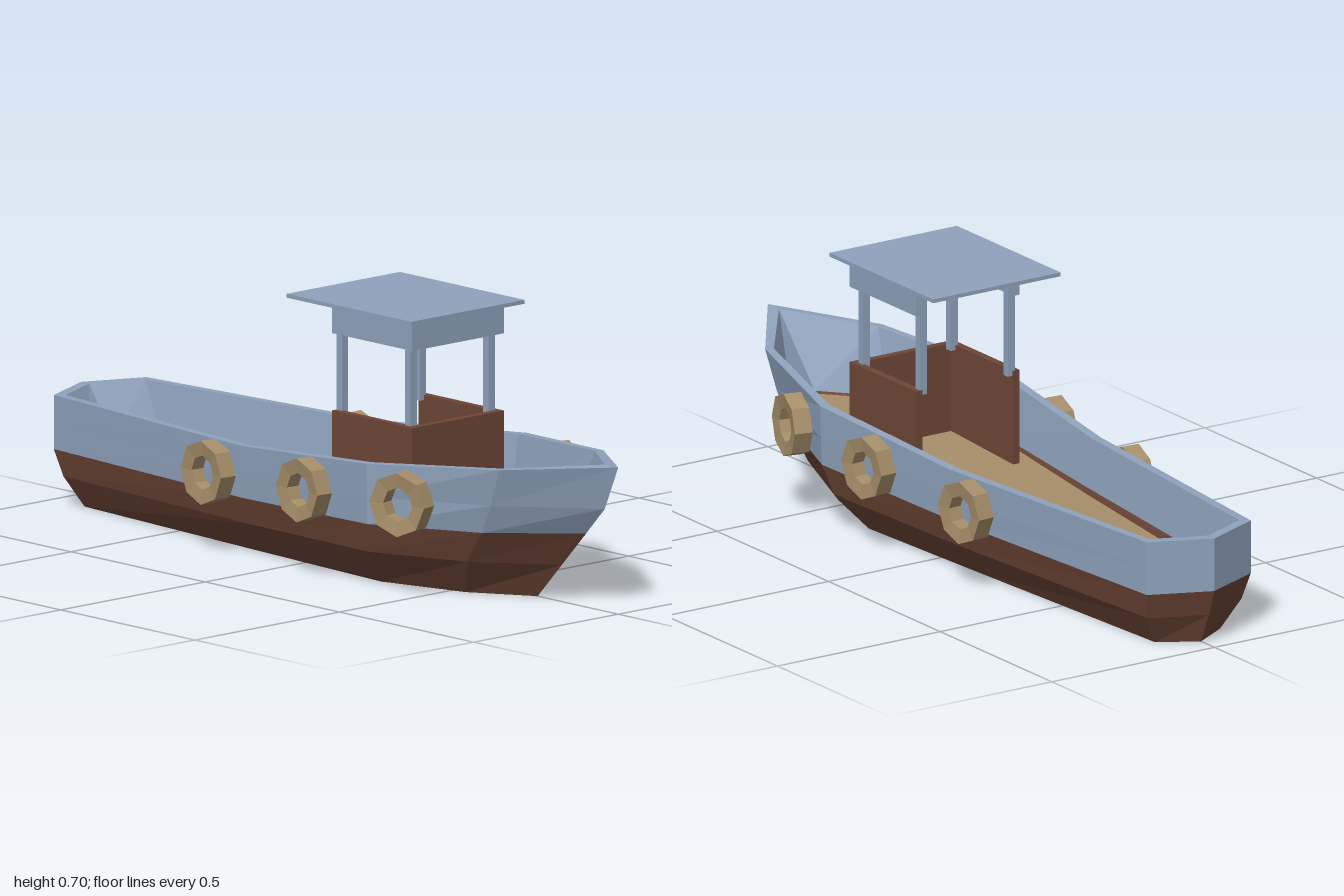
import * as THREE from 'three';

const mat = (name, color, side = THREE.FrontSide) => {
  const m = new THREE.MeshStandardMaterial({ color, flatShading: true, side });
  m.name = name;
  return m;
};

// Full outline from half stations running bow -> left side -> stern
function loop(half) {
  const mirrored = half.slice(1, -1).reverse().map(([x, y, z]) => [-x, y, z]);
  return [...half, ...mirrored];
}

function toGeometry(points) {
  const g = new THREE.BufferGeometry();
  g.setAttribute('position', new THREE.Float32BufferAttribute(points.flat(), 3));
  g.computeVertexNormals();
  return g;
}

// Skin a chain of outlines
function skin(loops) {
  const out = [];
  for (let k = 0; k < loops.length - 1; k++) {
    const a = loops[k], b = loops[k + 1], n = a.length;
    for (let i = 0; i < n; i++) {
      const j = (i + 1) % n;
      out.push(a[i], a[j], b[j], a[i], b[j], b[i]);
    }
  }
  return toGeometry(out);
}

// Close an outline with strips running from side to side
function cap(l, down = false) {
  const out = [], n = l.length, m = (i) => (n - i) % n;
  const tri = (a, b, c) => {
    if (a === b || b === c || a === c) return;
    out.push(l[a], l[down ? c : b], l[down ? b : c]);
  };
  for (let i = 0; i < n / 2; i++) {
    tri(i, i + 1, m(i + 1));
    tri(i, m(i + 1), m(i));
  }
  return toGeometry(out);
}

export function createModel() {
  const boat = new THREE.Group();
  boat.name = 'workBoat';
  const blue = mat('greyBlue', 0x8fa3bc);
  const brown = mat('rustBrown', 0x6e4737);
  const tan = mat('tan', 0xa68e69);

  const add = (name, geometry, material, parent = boat) => {
    const mesh = new THREE.Mesh(geometry, material);
    mesh.name = name;
    parent.add(mesh);
    return mesh;
  };
  const box = (name, material, parent, [x0, x1], [y0, y1], [z0, z1]) => {
    const mesh = add(name, new THREE.BoxGeometry(x1 - x0, y1 - y0, z1 - z0), material, parent);
    mesh.position.set((x0 + x1) / 2, (y0 + y1) / 2, (z0 + z1) / 2);
  };

  // Hull outlines from keel to rim
  const keel = loop([[0, 0, 0.7], [0.1, 0, 0.54], [0.17, 0, 0.3], [0.145, 0, -0.15], [0.1, 0, -0.88], [0, 0, -0.94]]);
  const chine = loop([[0, 0.095, 0.79], [0.15, 0.095, 0.6], [0.25, 0.095, 0.34], [0.21, 0.085, -0.15], [0.145, 0.08, -0.91], [0, 0.08, -0.975]]);
  const water = loop([[0, 0.19, 0.88], [0.165, 0.183, 0.67], [0.273, 0.173, 0.36], [0.23, 0.155, -0.15], [0.16, 0.15, -0.93], [0, 0.15, -1]]);
  const flare = loop([[0, 0.265, 0.95], [0.172, 0.26, 0.71], [0.276, 0.245, 0.36], [0.232, 0.22, -0.15], [0.16, 0.22, -0.93], [0, 0.22, -1]]);
  const rim = loop([[0, 0.38, 1], [0.18, 0.36, 0.75], [0.278, 0.33, 0.36], [0.233, 0.29, -0.15], [0.16, 0.29, -0.93], [0, 0.29, -1]]);
  // Inside of the bulwark down to the deck
  const rimInner = loop([[0, 0.38, 0.95], [0.16, 0.36, 0.74], [0.253, 0.33, 0.355], [0.208, 0.29, -0.15], [0.138, 0.29, -0.91], [0, 0.29, -0.97]]);
  const strip = loop([[0, 0.205, 0.79], [0.143, 0.195, 0.675], [0.229, 0.185, 0.36], [0.19, 0.165, -0.15], [0.125, 0.155, -0.84], [0, 0.155, -0.88]]);
  const deck = loop([[0, 0.2, 0.78], [0.14, 0.19, 0.67], [0.225, 0.178, 0.36], [0.185, 0.15, -0.15], [0.12, 0.13, -0.83], [0, 0.13, -0.87]]);

  add('hullBottom', cap(keel, true), brown);
  add('lowerHull', skin([keel, chine, water]), brown);
  add('upperHull', skin([water, flare, rim, rimInner, strip]), blue);
  add('deckEdge', skin([strip, deck]), brown);
  add('deck', cap(deck), tan);

  // Wheelhouse, open at the back
  const house = new THREE.Group();
  house.name = 'wheelhouse';
  house.position.x = -0.004;
  boat.add(house);
  const w = 0.159, t = 0.02, zBack = 0.11, zFront = 0.408;
  const enclosure = (name, material, y) => {
    box(name + 'Front', material, house, [-w, w], y, [zFront - t, zFront]);
    for (const s of [-1, 1]) {
      const x = s < 0 ? [-w, t - w] : [w - t, w];
      box(name + 'Side', material, house, x, y, [zBack, zFront - t]);
    }
  };
  enclosure('cabinWall', brown, [0.14, 0.413]);
  enclosure('roofSkirt', blue, [0.613, 0.69]);
  box('roof', blue, house, [-0.196, 0.196], [0.69, 0.7], [-0.02, 0.445]);

  // Roof posts
  for (const s of [-1, 1]) {
    for (const z of [0.122, 0.378]) {
      box('roofPost', blue, house, [s * 0.135 - 0.011, s * 0.135 + 0.011], [0.4, 0.69], [z - 0.01, z + 0.01]);
    }
  }

  // Octagonal tyre fenders, lying along the hull sides
  const section = [[0.044, -0.019], [0.083, -0.024], [0.083, 0.024], [0.044, 0.019], [0.044, -0.019]]
    .map(([r, y]) => new THREE.Vector2(r, y));
  const tyre = new THREE.LatheGeometry(section, 8);
  tyre.rotateZ(-Math.PI / 2);
  const fenders = [[0.275, 0.247, 0.49, 0.24], [0.284, 0.23, 0.135, -0.06], [0.253, 0.21, -0.255, -0.08]];
  for (const s of [-1, 1]) {
    for (const [x, y, z, yaw] of fenders) {
      const f = add(s > 0 ? 'leftFender' : 'rightFender', tyre, tan);
      f.position.set(s * x, y, z);
      f.rotation.set(0, -s * yaw, 0);
    }
  }
  return boat;
}
